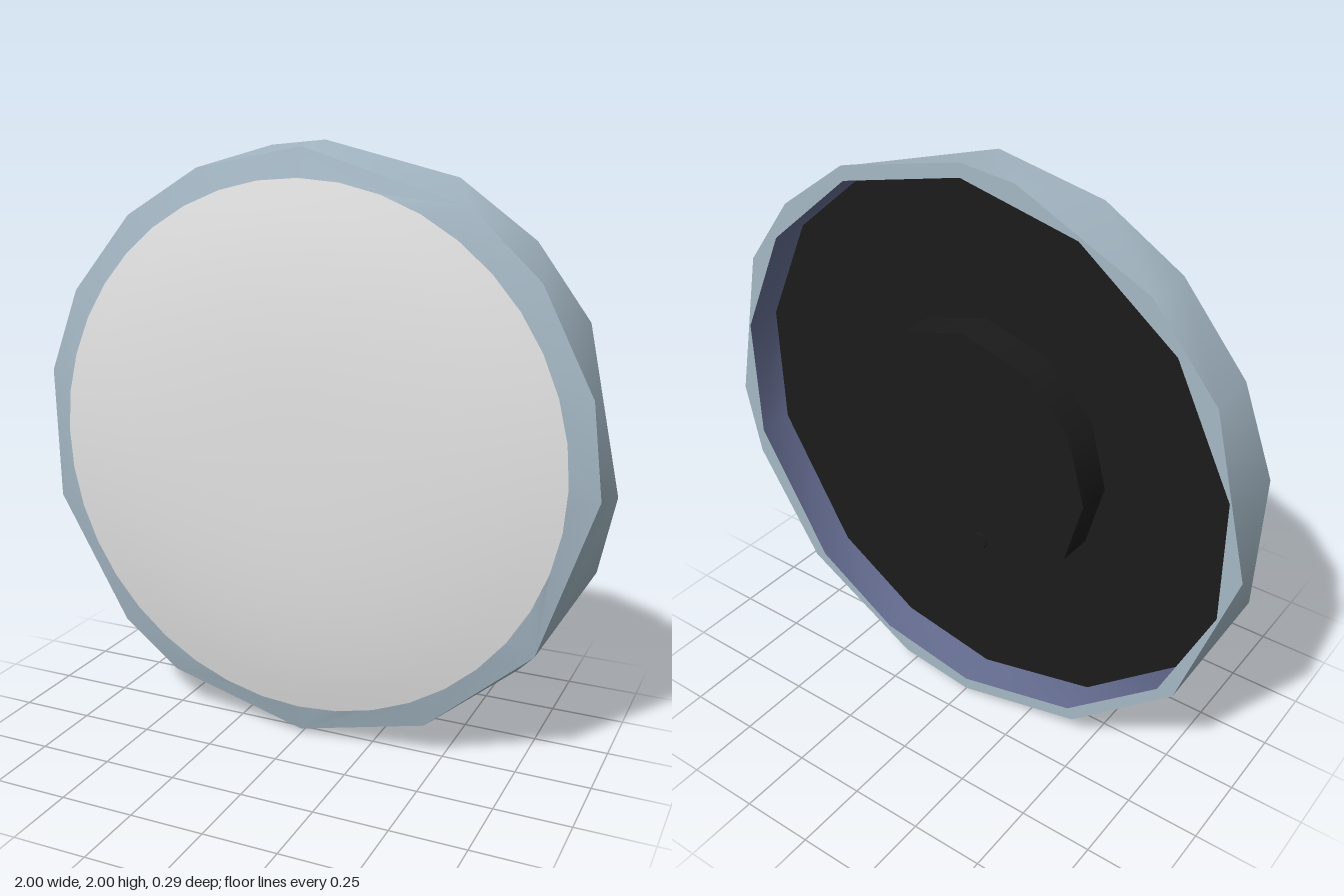
import * as THREE from 'three';

const mat = (name, color) => {
  const m = new THREE.MeshStandardMaterial({ color });
  m.name = name;
  return m;
};

// Corner angles in degrees of the uneven, low-poly rims
const BACK = [-178, -145, -117, -90, -74, -45, -19, -4, 28, 45, 63, 90, 101, 130, 150];
const FRONT = [-165, -135, -120, -90, -63, -35, -2, 16, 38, 56, 90, 112, 130, 150, 168];
const INNER = [-168, -143, -117, -90, -68, -46, -14, 12, 37, 62, 90, 115, 140, 167];
const ROUND = Array.from({ length: 36 }, (_, i) => -175 + i * 10);

const ring = (angles, r, z) => ({ angles, r, z });

// Skin between two rings whose corners need not line up
function stitch(a, b) {
  const pos = [];
  for (const { angles, r, z } of [a, b]) {
    for (const deg of angles) {
      const t = THREE.MathUtils.degToRad(deg);
      pos.push(r * Math.cos(t), r * Math.sin(t), z);
    }
  }
  const na = a.angles.length, nb = b.angles.length;
  const angleAt = (list, k) => list[k % list.length] + 360 * Math.floor(k / list.length);
  const index = [];
  let i = 0, j = 0;
  while (i < na || j < nb) {
    const A = i % na, B = na + (j % nb);
    const stepA = j >= nb || (i < na && angleAt(a.angles, i + 1) <= angleAt(b.angles, j + 1));
    if (stepA) {
      i++;
      index.push(A, i % na, B);
    } else {
      j++;
      index.push(A, na + (j % nb), B);
    }
  }
  const geo = new THREE.BufferGeometry();
  geo.setAttribute('position', new THREE.Float32BufferAttribute(pos, 3));
  geo.setIndex(index);
  geo.computeVertexNormals();
  return geo;
}

export function createModel() {
  const steel = mat('blue grey', 0xa5b8c5);
  const pale = mat('pale grey', 0xe3e3e3);
  const black = mat('black', 0x1b1b1b);
  const violet = mat('slate violet', 0x676f94);

  const model = new THREE.Group();
  const disc = new THREE.Group();
  disc.name = 'disc';
  disc.position.y = 1;
  model.add(disc);

  function add(name, material, geo) {
    const mesh = new THREE.Mesh(geo, material);
    mesh.name = name;
    disc.add(mesh);
    return mesh;
  }

  // Turned surface around the z axis; the profile lists [radius, z]
  function turned(name, material, profile, sides) {
    const pts = profile.map(([r, z]) => new THREE.Vector2(r, z));
    const geo = new THREE.LatheGeometry(pts, sides);
    geo.rotateX(Math.PI / 2);
    return add(name, material, geo);
  }

  const backZ = -0.145, frontZ = 0.045, floorZ = -0.018, hubZ = -0.14;
  const domeZ = (r) => 0.145 - 0.1 * (r / 0.98) ** 2.7;

  // Domed lens
  const lensR = 0.89, steps = 10;
  const dome = Array.from({ length: steps + 1 }, (_, i) => {
    const r = lensR * (1 - i / steps);
    return [r, domeZ(r) + 0.001];
  });
  turned('lens', pale, dome, 40);

  // Bezel, outer band and back rim
  const frontEdge = ring(FRONT, 0.985, frontZ);
  const backEdge = ring(BACK, 1, backZ);
  const recessEdge = ring(INNER, 0.955, backZ);
  const floorEdge = ring(INNER, 0.955, floorZ);
  add('bezel', steel, stitch(frontEdge, ring(ROUND, 0.88, domeZ(0.88))));
  add('outerBand', steel, stitch(backEdge, frontEdge));
  add('backRim', steel, stitch(recessEdge, backEdge));

  // Recess in the back; the floor runs in under the hub
  add('recessWall', violet, stitch(floorEdge, recessEdge));
  add('recessFloor', black, stitch(ring(INNER, 0.3, floorZ), floorEdge));

  // Raised hub
  turned('hubSide', black, [[0.455, hubZ], [0.457, floorZ]], 12);
  turned('hubFace', black, [[0, hubZ], [0.455, hubZ]], 12);

  // Small stud low on the hub
  const stud = add('hubStud', black, new THREE.CylinderGeometry(0.035, 0.03, 0.012, 8));
  stud.rotation.x = Math.PI / 2;
  stud.position.set(-0.06, -0.3, hubZ);

  return model;
}
